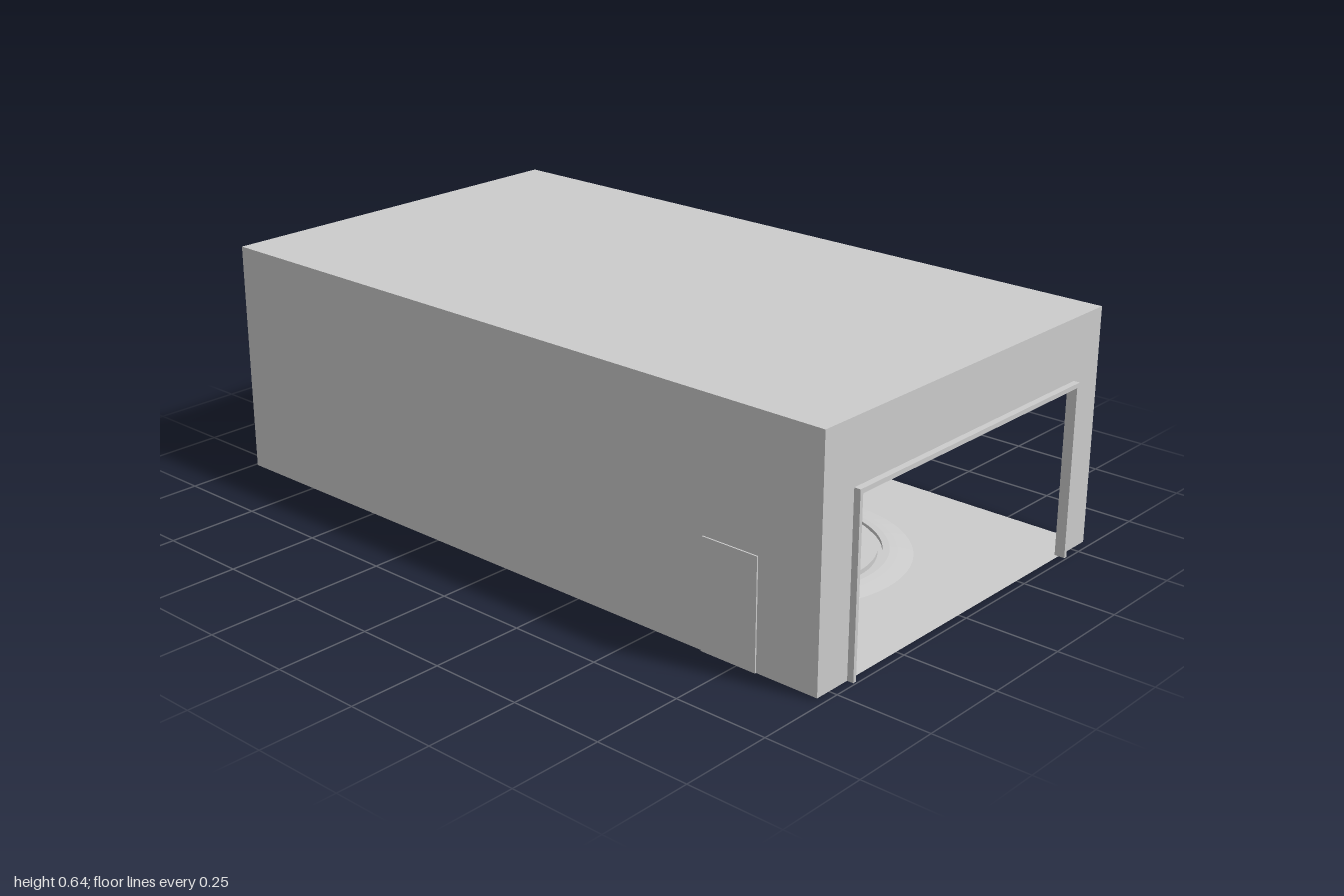
import * as THREE from 'three';

const W = 0.55, D = 0.983, H = 0.637, FLOOR = 0.005;
const grey = new THREE.MeshStandardMaterial({ color: 0xcccccc, side: THREE.DoubleSide, flatShading: true });

export function createModel() {
  const root = new THREE.Group();

  const add = (name, geometry, parent = root) => {
    const mesh = new THREE.Mesh(geometry, grey);
    mesh.name = name;
    parent.add(mesh);
    return mesh;
  };
  // Box given by its lower and upper corners
  const box = (name, x0, x1, y0, y1, z0, z1, parent) => {
    const m = add(name, new THREE.BoxGeometry(x1 - x0, y1 - y0, z1 - z0), parent);
    m.position.set((x0 + x1) / 2, (y0 + y1) / 2, (z0 + z1) / 2);
    return m;
  };
  const rectangle = (PathType, x, y0, y1) => new PathType([
    new THREE.Vector2(-x, y0), new THREE.Vector2(x, y0),
    new THREE.Vector2(x, y1), new THREE.Vector2(-x, y1),
  ]);
  // Upside-down U shape standing on the floor
  const portal = (x, top, inX, inTop) => new THREE.Shape([
    [-x, FLOOR], [-x, top], [x, top], [x, FLOOR],
    [inX, FLOOR], [inX, inTop], [-inX, inTop], [-inX, FLOOR],
  ].map(([a, b]) => new THREE.Vector2(a, b)));

  // Thin shell: floor, roof and one closed side, the other side open
  const slab = new THREE.PlaneGeometry(2 * W, 2 * D).rotateX(-Math.PI / 2);
  add('floor', slab).position.y = FLOOR;
  add('roof', slab).position.y = H;
  const side = add('sideWall', new THREE.ShapeGeometry(rectangle(THREE.Shape, D, FLOOR, H)));
  side.rotation.y = -Math.PI / 2;
  side.position.x = -W;

  // End walls with wide gateways and their frames
  for (const [label, s] of [['front', 1], ['back', -1]]) {
    const wall = add(label + 'Wall', new THREE.ShapeGeometry(portal(W, H, 0.437, 0.465)));
    wall.position.z = s * D;
    if (s < 0) wall.rotation.y = Math.PI;
    const frame = add(label + 'GateFrame', new THREE.ExtrudeGeometry(
      portal(0.442, 0.472, 0.432, 0.46), { depth: 0.028, bevelEnabled: false }));
    frame.position.z = s > 0 ? 0.972 : -1;
  }

  // Turntable: sloping ring, narrow groove and round platform
  const turntable = new THREE.Group();
  turntable.name = 'turntable';
  turntable.position.z = 0.43;
  root.add(turntable);
  const ringProfile = [[0.34, 0.005], [0.3, 0.013], [0.28, 0.016], [0.262, 0.016], [0.262, 0.006]];
  add('turntableRamp', new THREE.LatheGeometry(
    ringProfile.map(([r, y]) => new THREE.Vector2(r, y)), 64), turntable);
  add('turntablePlatform', new THREE.CylinderGeometry(0.25, 0.25, 0.018, 64), turntable).position.y = 0.009;

  // Side door and the sign above it
  box('sideDoor', -0.554, -0.546, FLOOR, 0.293, 0.65, 0.81);
  box('doorSign', -0.549, -0.54, 0.31, 0.345, 0.69, 0.78);

  // Vending machine with feet and a slanted tray
  const vending = new THREE.Group();
  vending.name = 'vendingMachine';
  root.add(vending);
  box('cabinet', -0.53, -0.402, 0.014, 0.264, -0.06, 0.064, vending);
  for (const x of [-0.517, -0.411])
    for (const z of [-0.05, 0.054]) {
      const foot = add('foot', new THREE.CylinderGeometry(0.005, 0.005, 0.014, 12), vending);
      foot.position.set(x, 0.007, z);
    }
  const tray = new THREE.Shape([[-0.405, 0.06], [-0.401, 0.06], [-0.391, 0.09], [-0.405, 0.09]]
    .map(([x, y]) => new THREE.Vector2(x, y)));
  add('tray', new THREE.ExtrudeGeometry(tray, { depth: 0.09, bevelEnabled: false }), vending).position.z = -0.042;

  // Fire extinguisher hung on the side wall
  const bottle = [[0, 0.142], [0.017, 0.142], [0.018, 0.147], [0.018, 0.19], [0.013, 0.199], [0.006, 0.203], [0.006, 0.215], [0, 0.215]];
  add('extinguisher', new THREE.LatheGeometry(
    bottle.map(([r, y]) => new THREE.Vector2(r, y)), 20)).position.set(-0.53, 0, 0.369);

  // Flat round plate and narrow strip beside it
  const plate = add('roundPlate', new THREE.CylinderGeometry(0.033, 0.033, 0.006, 32));
  plate.rotation.z = Math.PI / 2;
  plate.position.set(-0.547, 0.172, 0.298);
  box('wallStrip', -0.55, -0.543, 0.135, 0.24, 0.447, 0.459);

  // Box mounted inside above the front gateway
  box('gateBox', -0.12, 0.12, 0.488, 0.585, 0.945, 0.982);

  return root;
}
